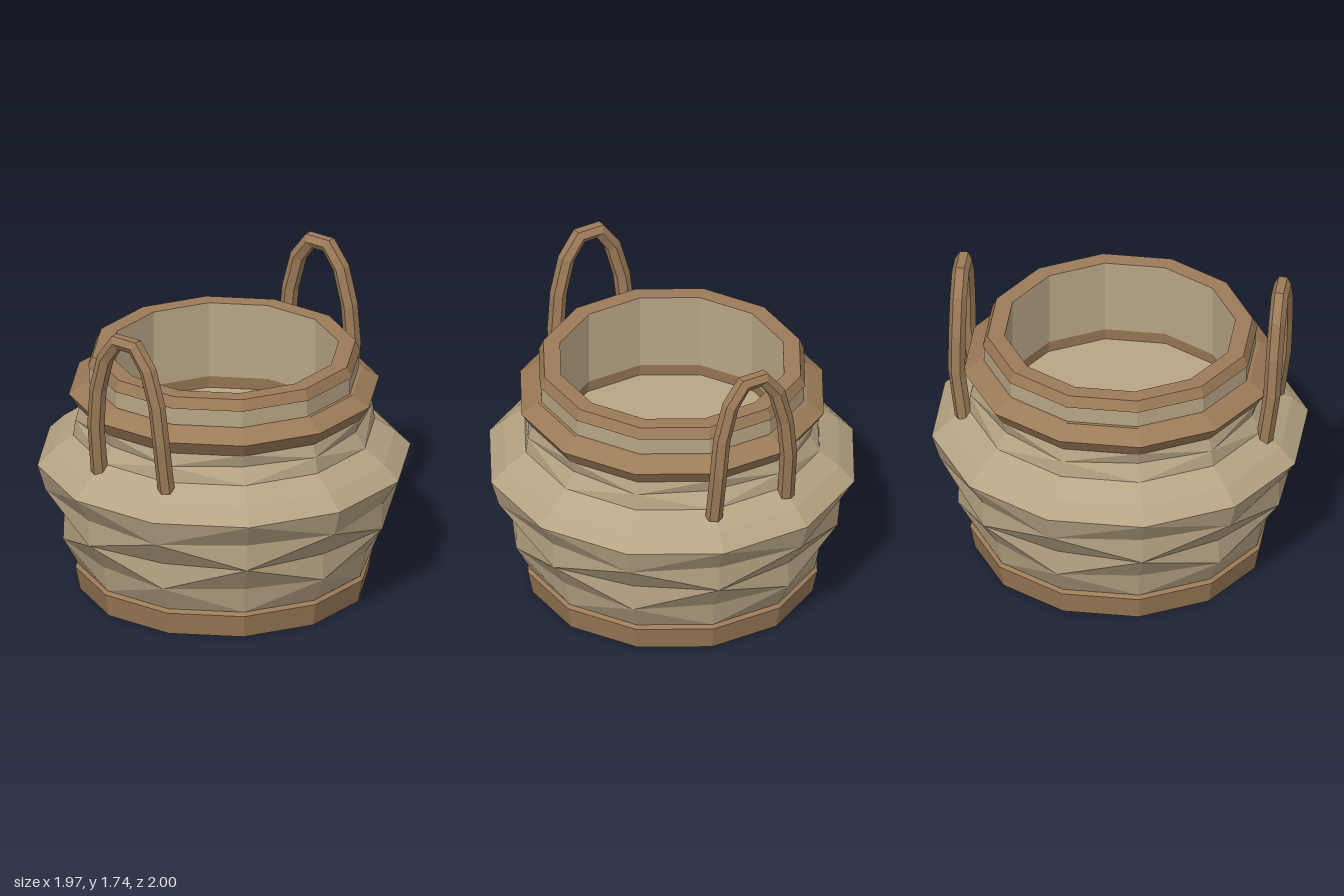
import * as THREE from 'three';

const SIDES = 12;
const APOTHEM = Math.cos(Math.PI / SIDES);

// Flat-faced mesh from a list of corner points, three per triangle
function facetedMesh(name, points, material) {
  const geometry = new THREE.BufferGeometry().setFromPoints(points);
  geometry.computeVertexNormals();
  const mesh = new THREE.Mesh(geometry, material);
  mesh.name = name;
  return mesh;
}

// Twelve-sided shell through rings of [height, half width across flats, dent depth].
// Alternate corners of a dented ring are pushed in, like a weave.
function ringShell(name, rings, material) {
  const corner = (i, j) => {
    const [y, half, dent = 0] = rings[j];
    const r = (half - ((i + j) % 2 ? 0 : dent)) / APOTHEM;
    const a = ((i % SIDES) + 0.5) * Math.PI * 2 / SIDES;
    return new THREE.Vector3(r * Math.sin(a), y, r * Math.cos(a) * 1.012);
  };
  const points = [];
  for (let j = 0; j < rings.length - 1; j++) {
    for (let i = 0; i < SIDES; i++) {
      const a = corner(i, j), b = corner(i + 1, j);
      const c = corner(i + 1, j + 1), d = corner(i, j + 1);
      // The diagonal joins the two raised corners
      if ((i + j) % 2) points.push(a, b, c, a, c, d);
      else points.push(a, b, d, b, c, d);
    }
  }
  return facetedMesh(name, points, material);
}

// Flat twelve-sided disc
function disc(name, y, half, facingUp, material) {
  const geometry = new THREE.CircleGeometry(half / APOTHEM, SIDES, Math.PI / SIDES);
  geometry.rotateX(facingUp ? -Math.PI / 2 : Math.PI / 2);
  geometry.scale(1, 1, 1.012);
  const mesh = new THREE.Mesh(geometry, material);
  mesh.name = name;
  mesh.position.y = y;
  return mesh;
}

// Hexagonal rod swept along an arch that leans outward near its feet
function handle(name, side, path, material) {
  const radius = 0.047;
  const rings = path.map((p, k) => {
    const before = path[Math.max(k - 1, 0)], after = path[Math.min(k + 1, path.length - 1)];
    const tangent = after.clone().sub(before).setZ(0).normalize();
    const normal = new THREE.Vector3(-tangent.y, tangent.x, 0);
    return Array.from({ length: 6 }, (_, s) => {
      const a = s * Math.PI / 3;
      return p.clone().addScaledVector(normal, Math.cos(a + Math.PI / 6) * radius * 1.0)
        .add(new THREE.Vector3(0, 0, Math.sin(a + Math.PI / 6) * radius));
    });
  });
  const points = [];
  const last = rings.length - 1;
  for (let k = 0; k < last; k++) {
    for (let s = 0; s < 6; s++) {
      const t = (s + 1) % 6;
      const a = rings[k][s], b = rings[k][t], c = rings[k + 1][t], d = rings[k + 1][s];
      points.push(a, c, b, a, d, c);
    }
  }
  // End caps
  for (let s = 1; s < 5; s++) {
    points.push(rings[0][0], rings[0][s], rings[0][s + 1]);
    points.push(rings[last][0], rings[last][s + 1], rings[last][s]);
  }
  const mesh = facetedMesh(name, points, material);
  if (side < 0) mesh.rotation.y = Math.PI;
  return mesh;
}

export function createModel() {
  const wicker = new THREE.MeshStandardMaterial({ name: 'pale wicker', color: 0xb8a585, flatShading: true });
  const trim = new THREE.MeshStandardMaterial({ name: 'brown trim', color: 0x9c7b58, flatShading: true });
  // Handle tubes and inner surfaces are seen from both sides where they meet the pot
  wicker.side = trim.side = THREE.DoubleSide;

  const group = new THREE.Group();
  group.name = 'basket';

  // Foot band and underside
  group.add(ringShell('footBand', [[0, 0.76], [0.13, 0.785], [0.15, 0.76]], trim));
  group.add(disc('underside', 0, 0.76, false, trim));

  // Woven belly and shoulder
  group.add(ringShell('body', [
    [0.15, 0.77], [0.3, 0.85, 0.05], [0.45, 0.895, 0.05], [0.6, 0.945, 0.05],
    [0.745, 0.986], [0.83, 0.905], [0.91, 0.797], [1.0, 0.785, 0.04], [1.075, 0.765],
  ], wicker));

  // Collar, neck and lip
  group.add(ringShell('collar', [[1.07, 0.765], [1.155, 0.82], [1.218, 0.73], [1.218, 0.71]], trim));
  group.add(ringShell('neck', [[1.21, 0.712], [1.315, 0.712]], wicker));
  group.add(ringShell('lip', [[1.315, 0.71], [1.315, 0.72], [1.375, 0.695], [1.375, 0.605]], trim));

  // Inside wall and floor
  group.add(ringShell('innerWall', [[1.375, 0.605], [0.94, 0.605]], wicker));
  group.add(ringShell('innerBand', [[0.94, 0.605], [0.87, 0.615]], trim));
  group.add(disc('innerFloor', 0.87, 0.615, true, wicker));

  // Handles, each mirrored from half an arch of [x, y, z]
  const arch = (half) => [
    ...half.map(([x, y, z]) => new THREE.Vector3(-x, y, z)),
    ...half.slice().reverse().map(([x, y, z]) => new THREE.Vector3(x, y, z)),
  ];
  group.add(handle('frontHandle', 1, arch([
    [0.228, 0.865, 0.825], [0.222, 1.16, 0.865], [0.2, 1.38, 0.875], [0.145, 1.58, 0.883], [0.06, 1.7, 0.886],
  ]), trim));
  group.add(handle('backHandle', -1, arch([
    [0.228, 0.875, 0.83], [0.222, 1.17, 0.868], [0.2, 1.39, 0.868], [0.145, 1.59, 0.868], [0.06, 1.705, 0.868],
  ]), trim));

  return group;
}
